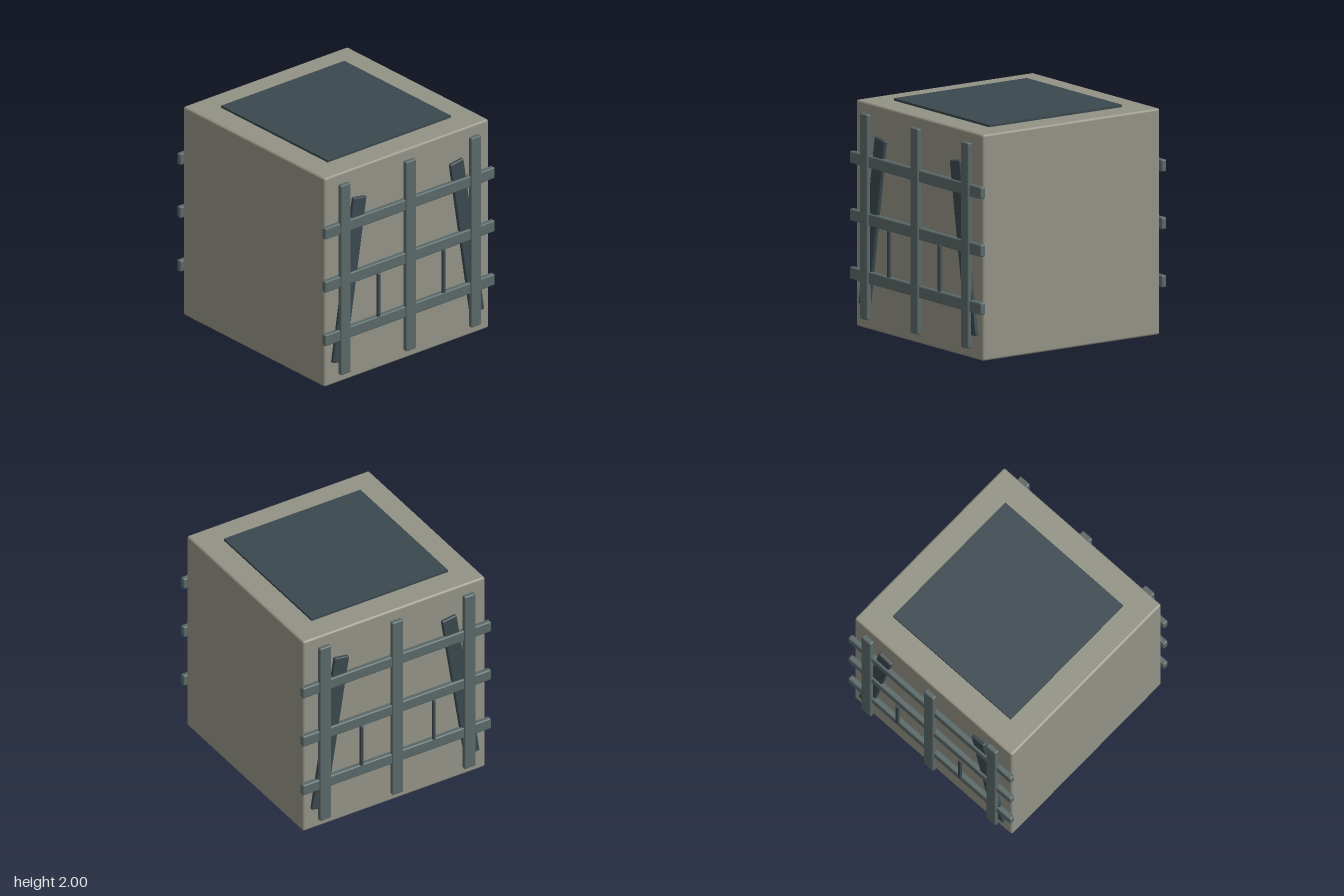
import * as THREE from 'three';
import { RoundedBoxGeometry } from 'three/addons/geometries/RoundedBoxGeometry.js';

const material = (name, color) => {
  const m = new THREE.MeshStandardMaterial({ color });
  m.name = name;
  return m;
};

export function createModel() {
  const stone = material('warm grey stone', 0x929286);
  const steel = material('grey steel', 0x5a6868);
  const darkSteel = material('dark steel', 0x3a484e);

  // Softened box from its size and centre
  const bar = (name, mat, size, pos, radius, tilt = 0) => {
    const mesh = new THREE.Mesh(new RoundedBoxGeometry(...size, 2, radius), mat);
    mesh.name = name;
    mesh.position.set(...pos);
    mesh.rotation.z = tilt;
    return mesh;
  };

  const model = new THREE.Group();
  model.name = 'barredBlock';

  // Main block
  model.add(bar('block', stone, [1.815, 1.955, 1.856], [0, 1.002, 0], 0.02));

  // Flat plates let into the top and bottom
  for (const [name, y] of [['topPlate', 1.98], ['bottomPlate', 0.02]]) {
    const plate = new THREE.Mesh(new THREE.BoxGeometry(1.36, 0.04, 1.396), darkSteel);
    plate.name = name;
    plate.position.y = y;
    model.add(plate);
  }

  // The same grille on the front and the back
  for (const [name, turn] of [['frontGrille', 0], ['backGrille', Math.PI]]) {
    const grille = new THREE.Group();
    grille.name = name;
    grille.rotation.y = turn;

    // Lattice of crossing bars
    for (const y of [0.485, 0.987, 1.485])
      grille.add(bar('crossBar', steel, [1.875, 0.104, 0.05], [0, y, 0.951], 0.012));
    for (const x of [-0.72, 0, 0.72])
      grille.add(bar('uprightBar', steel, [0.11, 1.776, 0.046], [x, 1.005, 0.967], 0.012));

    // Leaning braces behind the lattice and thin rods in its lower windows
    for (const side of [-1, 1]) {
      grille.add(bar('leaningBrace', darkSteel, [0.145, 1.497, 0.06],
        [side * 0.65, 0.965, 0.928], 0.012, side * 0.155));
      grille.add(bar('thinRod', darkSteel, [0.026, 0.4, 0.026],
        [side * 0.36, 0.743, 0.982], 0.004));
    }
    model.add(grille);
  }

  return model;
}
